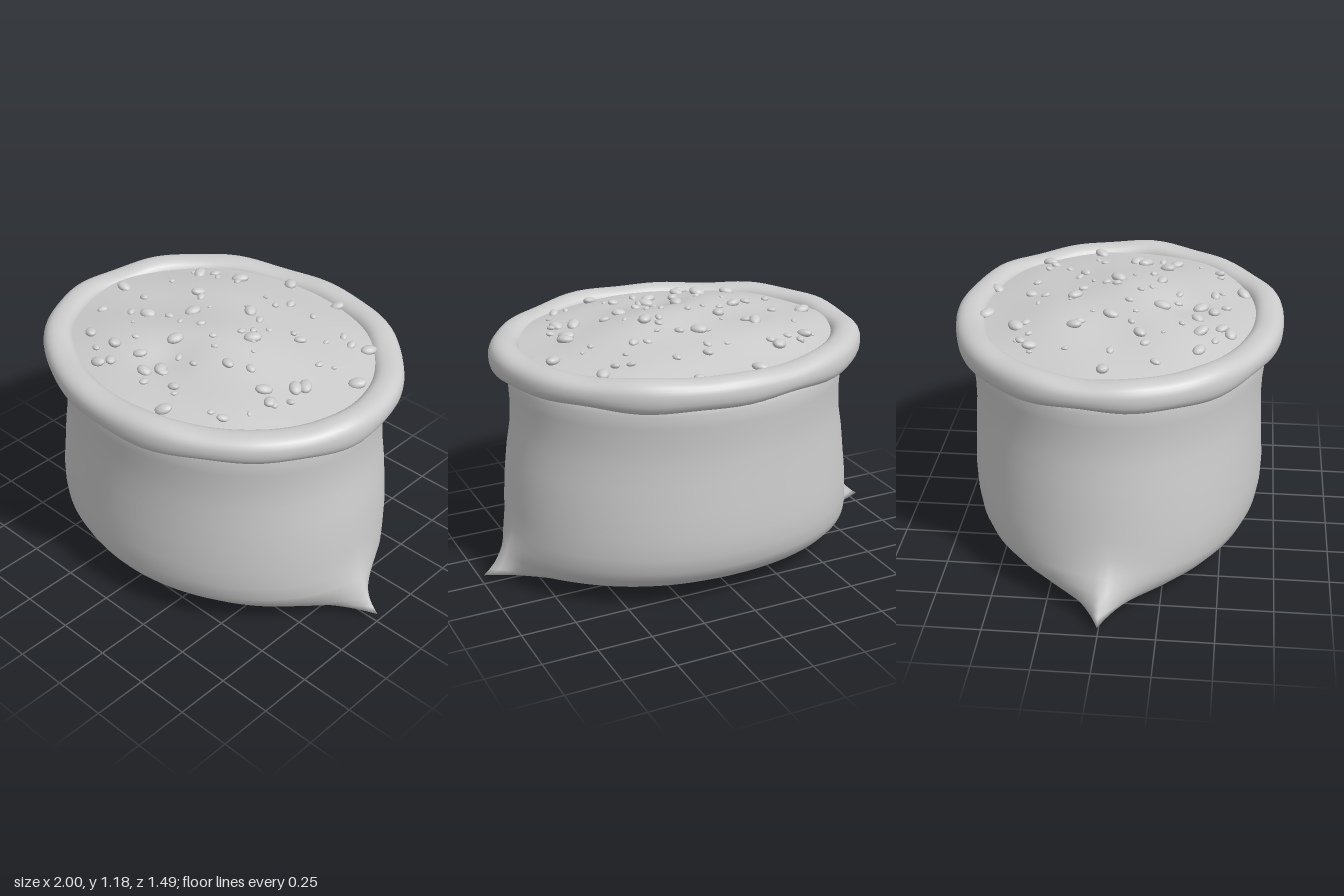
import * as THREE from 'three';

const TAU = Math.PI * 2;

// Skin a stack of closed rings; point(row, angle) gives [x, y, z]
function loft(rows, cols, point) {
  const pos = [], index = [];
  for (let i = 0; i < rows; i++)
    for (let j = 0; j < cols; j++) pos.push(...point(i, (j / cols) * TAU));
  for (let i = 0; i < rows - 1; i++)
    for (let j = 0; j < cols; j++) {
      const k = (j + 1) % cols;
      const a = i * cols + j, b = i * cols + k, c = a + cols, d = b + cols;
      index.push(a, c, b, b, c, d);
    }
  const g = new THREE.BufferGeometry();
  g.setAttribute('position', new THREE.Float32BufferAttribute(pos, 3));
  g.setIndex(index);
  g.computeVertexNormals();
  return g;
}

// Height of the heaped filling
function moundHeight(x, z) {
  const u = (x - 0.02) / 0.78, v = z / 0.68;
  const r2 = Math.min(1, u * u + v * v);
  const lumps = 0.011 * Math.sin(7 * x + 1) * Math.cos(8 * z) + 0.006 * Math.sin(13 * z + 5 * x);
  const dent = -0.02 * Math.exp(-((x + 0.02) ** 2 + (z - 0.3) ** 2) / 0.012);
  return 1.065 + 0.09 * Math.pow(1 - r2, 1.2) + lumps * (1 - r2 * 0.6) + dent;
}

export function createModel() {
  const group = new THREE.Group();
  group.name = 'openSack';
  const cloth = new THREE.MeshStandardMaterial({ color: 0xcccccc, side: THREE.DoubleSide });
  cloth.name = 'lightGrey';
  const add = (name, geometry, parent = group) => {
    const m = new THREE.Mesh(geometry, cloth);
    m.name = name;
    parent.add(m);
    return m;
  };

  // Sack rings: y, half width, half depth, reach of the pointed corner, x offset
  const rings = [
    [0.006, 0, 0, 0, 0],
    [0.012, 0.35, 0.14, 0.15, 0],
    [0.022, 0.55, 0.26, 0.22, 0],
    [0.036, 0.65, 0.37, 0.27, 0],
    [0.05, 0.71, 0.45, 0.29, 0],
    [0.075, 0.76, 0.53, 0.21, 0.002],
    [0.105, 0.79, 0.58, 0.15, 0.005],
    [0.15, 0.82, 0.63, 0.09, 0.01],
    [0.2, 0.835, 0.658, 0.04, 0.018],
    [0.27, 0.835, 0.672, 0.01, 0.02],
    [0.36, 0.832, 0.677, 0, 0.022],
    [0.48, 0.82, 0.67, 0, 0.025],
    [0.6, 0.805, 0.664, 0, 0.025],
    [0.7, 0.786, 0.658, 0, 0.025],
    [0.8, 0.779, 0.66, 0, 0.025],
    [0.88, 0.782, 0.668, 0, 0.025],
    [0.94, 0.784, 0.671, 0, 0.025],
    [0.965, 0.775, 0.66, 0, 0.025],
    [1.0, 0.765, 0.65, 0, 0.025],
  ];
  add('sackBody', loft(rings.length, 128, (i, a) => {
    const [y, rx, rz, reach, off] = rings[i];
    const c = Math.cos(a), s = Math.sin(a);
    const corner = reach * Math.exp(-4 * Math.abs(s)) * Math.sign(c);
    const fold = 1 + 0.004 * Math.sin(5 * a + 6 * y) * Math.abs(s);
    return [off + rx * c + corner, y, rz * s * fold];
  }));

  // Rolled rim with a slightly uneven edge
  const steps = 24;
  add('rolledRim', loft(steps + 1, 96, (i, a) => {
    const b = -Math.PI + (i / steps) * TAU;
    const soft = (t) => Math.sign(t) * Math.pow(Math.abs(t), 0.85);
    const wave = 0.006 * Math.sin(5 * a + 1) + 0.004 * Math.sin(11 * a);
    const out = 0.071 * soft(Math.cos(b)) + wave * 0.7;
    const y = 1.037 + (0.066 + wave) * soft(Math.sin(b));
    return [0.0225 + (0.791 + out) * Math.cos(a), y, (0.675 + out) * Math.sin(a)];
  }));

  // Heaped filling
  const moundRows = 28;
  add('filling', loft(moundRows + 1, 80, (i, a) => {
    const r = 1 - i / moundRows;
    const x = 0.0225 + 0.77 * r * Math.cos(a), z = 0.66 * r * Math.sin(a);
    return [x, moundHeight(x, z), z];
  }));

  // Beans lying on the filling
  const beans = new THREE.Group();
  beans.name = 'beans';
  group.add(beans);
  const beanGeometry = new THREE.SphereGeometry(1, 12, 8);
  let seed = 7;
  const rand = () => (seed = (seed * 16807) % 2147483647) / 2147483647;
  const addBean = (x, z, size) => {
    const bean = add('bean', beanGeometry, beans);
    bean.position.set(x, moundHeight(x, z) + size * 0.15, z);
    bean.scale.set(size, size * 0.5, size * 0.72);
    bean.rotation.set((rand() - 0.5) * 0.6, rand() * TAU, (rand() - 0.5) * 0.6);
  };
  const large = [
    [0.07, -0.41], [-0.45, -0.34], [0.55, -0.39], [0.01, -0.2], [-0.29, -0.17],
    [0.68, -0.15], [0.19, -0.02], [0.55, 0.04], [0.45, 0.19], [0.23, 0.18],
    [-0.33, 0.12], [-0.43, 0.38], [-0.27, 0.38], [-0.24, 0.51], [-0.2, 0.47],
    [-0.13, 0.36], [0.01, 0.37], [-0.03, 0.43], [-0.07, 0.2], [0.52, 0.23],
    [0.22, 0.56], [0.45, 0.44], [-0.27, -0.43], [0.2, -0.59], [-0.09, -0.59],
    [-0.63, -0.01], [0.32, -0.19], [-0.18, -0.02], [0.53, 0.08], [0.15, 0.43],
  ];
  large.forEach(([x, z]) => addBean(x, z, 0.028 + rand() * 0.014));
  for (let i = 0; i < 45; i++) {
    const a = rand() * TAU, r = Math.sqrt(rand()) * 0.9;
    addBean(0.02 + 0.74 * r * Math.cos(a), 0.63 * r * Math.sin(a), 0.012 + rand() * 0.014);
  }
  return group;
}
